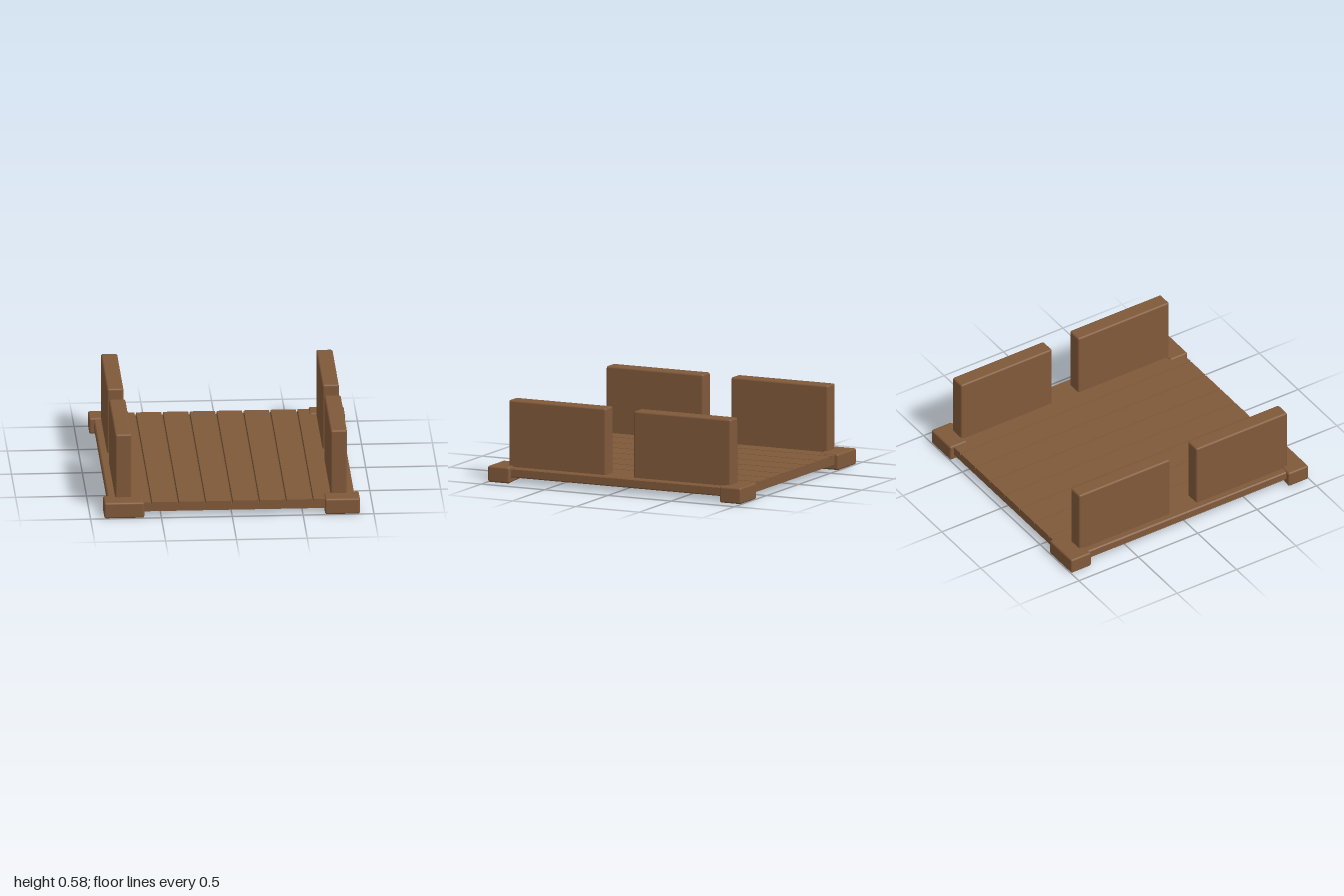
import * as THREE from 'three';
import { RoundedBoxGeometry } from 'three/addons/geometries/RoundedBoxGeometry.js';

const wood = new THREE.MeshStandardMaterial({ color: 0x80593a });
wood.name = 'brown wood';

// Rounded block given by its lower and upper corners
function block(name, min, max, radius) {
  const size = max.map((v, i) => v - min[i]);
  const mesh = new THREE.Mesh(new RoundedBoxGeometry(...size, 3, radius), wood);
  mesh.position.set(...max.map((v, i) => (v + min[i]) / 2));
  mesh.name = name;
  return mesh;
}

// Plank deck: one cross-section with V grooves, run along z
function makeDeck() {
  const bottom = 0.04, top = 0.107, halfX = 0.87, halfZ = 0.97, edge = 0.008;
  const s = new THREE.Shape();
  s.moveTo(-halfX + edge, bottom);
  s.lineTo(halfX - edge, bottom);
  s.lineTo(halfX, bottom + edge);
  s.lineTo(halfX, top - edge);
  s.lineTo(halfX - edge, top);
  for (let i = 3; i >= -3; i--) {
    const x = i * 0.19;
    s.lineTo(x + 0.007, top);
    s.lineTo(x + 0.002, top - 0.022);
    s.lineTo(x - 0.002, top - 0.022);
    s.lineTo(x - 0.007, top);
  }
  s.lineTo(-halfX + edge, top);
  s.lineTo(-halfX, top - edge);
  s.lineTo(-halfX, bottom + edge);
  s.closePath();
  const geometry = new THREE.ExtrudeGeometry(s, { depth: halfZ * 2, bevelEnabled: false });
  geometry.translate(0, 0, -halfZ);
  const mesh = new THREE.Mesh(geometry, wood);
  mesh.name = 'plankDeck';
  return mesh;
}

// Corner foot: rounded block whose inner end is a little narrower
function makeFoot(sx, sz) {
  const inner = sx > 0 ? 0.655 : 0.62, outer = 0.903;
  const xs = [sx * inner, sx * outer].sort((a, b) => a - b);
  const zs = [sz * 0.83, sz * 1.0].sort((a, b) => a - b);
  const foot = block('cornerFoot', [xs[0], 0, zs[0]], [xs[1], 0.116, zs[1]], 0.014);
  const p = foot.geometry.attributes.position;
  for (let i = 0; i < p.count; i++) {
    const x = Math.abs(p.getX(i) + foot.position.x);
    const t = THREE.MathUtils.clamp((0.78 - x) / 0.1, 0, 1);
    if (p.getZ(i) * sz < 0) p.setZ(i, p.getZ(i) + sz * 0.025 * t);
  }
  return foot;
}

export function createModel() {
  const model = new THREE.Group();
  model.name = 'woodenPlatform';
  model.add(makeDeck());
  for (const sx of [-1, 1]) {
    for (const sz of [-1, 1]) {
      model.add(makeFoot(sx, sz));
      // Upright side panel, set into the deck
      const x = sx * 0.76, z = sz * 0.493;
      model.add(block('sidePanel', [x - 0.058, 0.06, z - 0.383], [x + 0.058, 0.583, z + 0.383], 0.014));
    }
  }
  return model;
}
